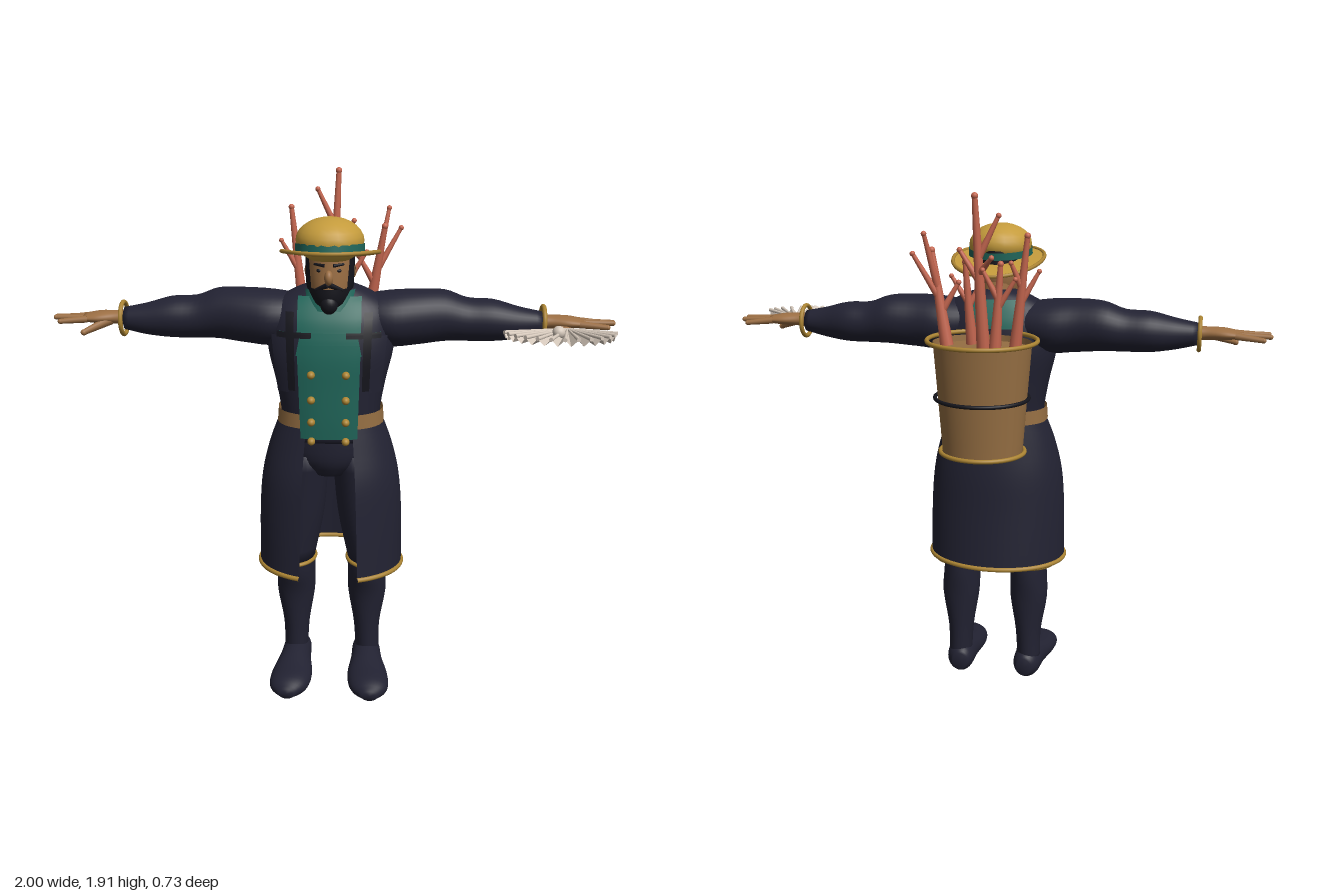
import * as THREE from 'three';

const paint = (name, color, side = THREE.FrontSide) => {
  const m = new THREE.MeshStandardMaterial({ color, side });
  m.name = name;
  return m;
};
const V = (x, y, z) => new THREE.Vector3(x, y, z);

// Smoothly subdivide sections [height, cu, cv, ru, rv, frontGap]
function dense(sections, k = 4) {
  const a = new THREE.CatmullRomCurve3(sections.map(s => V(s[0], s[1], s[2])), false, 'catmullrom', 0.5);
  const b = new THREE.CatmullRomCurve3(sections.map(s => V(s[3], s[4], s[5] || 0)), false, 'catmullrom', 0.5);
  const n = (sections.length - 1) * k;
  return Array.from({ length: n + 1 }, (_, i) => {
    const p = a.getPoint(i / n), q = b.getPoint(i / n);
    return [p.x, p.y, p.z, q.x, q.y, q.z];
  });
}

const power = (v, p) => Math.sign(v) * Math.abs(v) ** p;

function grid(rows, closed, caps) {
  const pos = rows.flat().flat(), idx = [], n = rows[0].length;
  for (let i = 0; i < rows.length - 1; i++)
    for (let j = 0; j < (closed ? n : n - 1); j++) {
      const k = (j + 1) % n, a = i * n + j, b = i * n + k, c = b + n, d = a + n;
      idx.push(a, b, c, a, c, d);
    }
  if (caps) [0, rows.length - 1].forEach((r, e) => {
    const o = pos.length / 3;
    pos.push(...[0, 1, 2].map(q => rows[r].reduce((s, p) => s + p[q], 0) / n));
    for (let j = 0; j < n; j++) {
      const a = r * n + j, b = r * n + (j + 1) % n;
      idx.push(o, ...(e ? [a, b] : [b, a]));
    }
  });
  const g = new THREE.BufferGeometry();
  g.setAttribute('position', new THREE.Float32BufferAttribute(pos, 3));
  g.setIndex(idx);
  g.computeVertexNormals();
  return g;
}

// Upright loft of rounded sections, open at the front where a gap is given
function loft(sections, { p = 1, seg = 32, caps = true, open = false } = {}) {
  const rows = dense(sections).map(([h, cu, cv, ru, rv, w]) => {
    const g = open ? Math.asin(w / ru) : 0;
    return Array.from({ length: open ? seg + 1 : seg }, (_, j) => {
      const t = g + (2 * Math.PI - 2 * g) * j / seg;
      return [cu + ru * power(Math.sin(t), p), h, cv + rv * power(Math.cos(t), p)];
    });
  });
  return grid(rows, !open, caps && !open);
}
// Lofts along x from [x, y, z, ry, rz] and along z from [z, x, y, rx, ry]
const loftX = s => loft(s.map(([x, y, z, a, b]) => [x, -y, z, a, b])).rotateZ(-Math.PI / 2);
const loftZ = s => loft(s.map(([z, x, y, a, b]) => [z, x, -y, a, b])).rotateX(Math.PI / 2);

// Cloth panel lying on a loft; xs = [bottom from, bottom to, top from, top to]
function panel(sections, p, y0, y1, xs, off, face = 1) {
  const d = dense(sections), rows = [];
  for (let i = 0; i <= 12; i++) {
    const f = i / 12, y = y0 + (y1 - y0) * f;
    const k = Math.max(1, d.findIndex(s => s[0] >= y));
    const u = (y - d[k - 1][0]) / (d[k][0] - d[k - 1][0]);
    const [, , cv, ru, rv] = d[k].map((v, q) => d[k - 1][q] + (v - d[k - 1][q]) * u);
    const a = xs[0] + (xs[2] - xs[0]) * f, b = xs[1] + (xs[3] - xs[1]) * f;
    rows.push(Array.from({ length: 13 }, (_, j) => {
      const x = a + (b - a) * j / 12;
      const s = Math.min(0.999, Math.abs(x) / (ru + off)) ** (1 / p);
      return [x * face, y, cv + face * (rv + off) * Math.sqrt(1 - s * s) ** p];
    }));
  }
  return grid(rows, false, false);
}

export function createModel() {
  const root = new THREE.Group();
  const D = THREE.DoubleSide;
  const navy = paint('navy cloth', 0x222232, D), teal = paint('teal cloth', 0x20665a, D);
  const gold = paint('gold trim', 0xab8433), straw = paint('straw', 0xc49b3c, D);
  const brown = paint('brown wood', 0x966f43, D), skin = paint('skin', 0x9c6f44);
  const black = paint('black', 0x15151c, D), coral = paint('coral', 0xc4664f);
  const shell = paint('shell', 0xd6c9bc, D);

  const add = (name, geo, mat, x = 0, y = 0, z = 0) => {
    const m = new THREE.Mesh(geo, mat);
    m.name = name;
    m.position.set(x, y, z);
    root.add(m);
    return m;
  };
  const ball = (name, mat, r, x, y, z, sx = 1, sy = 1, sz = 1) =>
    add(name, new THREE.SphereGeometry(r, 20, 14).scale(sx, sy, sz), mat, x, y, z);
  const limb = (name, mat, a, b, r0, r1) => {
    const m = add(name, new THREE.CylinderGeometry(r1, r0, a.distanceTo(b), 10), mat);
    m.position.copy(a).lerp(b, 0.5);
    m.quaternion.setFromUnitVectors(V(0, 1, 0), b.clone().sub(a).normalize());
    return m;
  };
  const ring = (name, mat, rx, rz, tube, x, y, z) => add(name,
    new THREE.TorusGeometry(1, tube / rx, 10, 48).rotateX(Math.PI / 2).scale(rx, rx, rz), mat, x, y, z);
  // Everything built inside is repeated on the other side
  const mirrored = build => {
    const start = root.children.length;
    build();
    root.children.slice(start).forEach(m => {
      m.updateMatrix();
      const g = m.geometry.clone().applyMatrix4(m.matrix).scale(-1, 1, 1), i = g.index.array;
      for (let k = 0; k < i.length; k += 3) [i[k], i[k + 1]] = [i[k + 1], i[k]];
      add(m.name, g, m.material);
    });
  };

  // Torso, vest and belt
  const body = [[1.0, 0, .12, .185, .13], [1.08, 0, .125, .176, .13], [1.2, 0, .12, .195, .137],
    [1.32, 0, .115, .222, .143], [1.42, 0, .11, .222, .13], [1.48, 0, .105, .2, .105],
    [1.525, 0, .1, .13, .075], [1.55, 0, .1, .06, .05]];
  add('jacket', loft(body, { p: .85, seg: 40 }), navy);
  add('vest', panel(body, .85, 1.02, 1.36, [-.1, .1, -.11, .11], .016), teal);
  add('vestChest', panel(body, .85, 1.32, 1.4, [-.17, .17, -.18, .18], .01), teal);
  add('vestYoke', panel(body, .85, 1.4, 1.515, [-.11, .11, -.11, .11], .012), teal);
  add('backYoke', panel(body, .85, 1.42, 1.52, [-.09, .09, -.1, .1], .008, -1), teal);
  add('belt', loft([[1.055, 0, .122, .192, .143], [1.08, 0, .122, .19, .143], [1.107, 0, .122, .188, .143]],
    { p: .85, caps: false }), brown);
  add('collar', loft([[1.47, 0, .14, .1, .095], [1.5, 0, .135, .098, .09], [1.535, 0, .125, .09, .085]],
    { caps: false }), teal);
  mirrored(() => {
    add('lapel', panel(body, .85, 1.19, 1.39, [.14, .18, .1, .2], .026), navy);
    add('strap', panel(body, .85, 1.2, 1.47, [.115, .14, .12, .15], .032), black);
    add('chestStrap', panel(body, .85, 1.385, 1.405, [.06, .18, .06, .18], .03), black);
    [1.26, 1.17, 1.09, 1.02].forEach(y => ball('button', gold, .014, .06, y, .284, 1, 1, 1.2));
  });

  // Open-fronted skirt with a rope hem
  const skirt = [[.5, 0, .127, .265, .207, .105], [.7, 0, .13, .262, .19, .1], [.85, 0, .13, .25, .178, .095],
    [.97, 0, .125, .222, .155, .088], [1.07, 0, .12, .185, .137, .08]];
  const hem = skirt[0], gap = Math.asin(hem[5] / hem[3]), hemPts = [];
  for (let i = 0; i <= 40; i++) {
    const t = gap + (2 * Math.PI - 2 * gap) * i / 40;
    hemPts.push(V(hem[3] * Math.sin(t), .5, hem[2] + hem[4] * Math.cos(t)));
  }
  add('skirt', loft(skirt, { open: true, seg: 48 }), navy);
  add('skirtHem', new THREE.TubeGeometry(new THREE.CatmullRomCurve3(hemPts), 90, .009, 8), gold);
  add('hips', loft([[.86, 0, .12, .08, .09], [.93, 0, .12, .16, .125], [1.06, 0, .12, .178, .13]]), navy);

  // Legs and shoes
  mirrored(() => {
    add('thigh', loft([[.49, .148, .085, .084, .1], [.7, .122, .1, .098, .108], [.94, .09, .12, .085, .11]]), navy);
    ring('trouserHem', gold, .086, .102, .008, .148, .49, .085);
    add('lowerLeg', loft([[.07, .14, .06, .045, .055], [.2, .137, .062, .05, .06], [.34, .137, .066, .072, .07],
      [.44, .134, .076, .071, .088], [.54, .13, .08, .07, .09]]), navy);
    add('shoe', loftZ([[-.01, .13, .06, .03, .035], [.03, .135, .062, .052, .058], [.12, .139, .058, .06, .056],
      [.22, .145, .048, .077, .046], [.3, .152, .042, .07, .04], [.35, .155, .038, .03, .02]]), navy);
  });

  // Arms, bangles and hands
  mirrored(() => {
    add('sleeve', loftX([[.08, 1.43, .09, .07, .08], [.2, 1.42, .09, .098, .112], [.3, 1.425, .085, .098, .102],
      [.4, 1.428, .07, .091, .092], [.48, 1.415, .07, .077, .08], [.57, 1.413, .072, .074, .078],
      [.66, 1.407, .082, .057, .058], [.74, 1.408, .085, .04, .042]]), navy);
    add('bangle', new THREE.TorusGeometry(.058, .008, 10, 36).rotateY(Math.PI / 2), gold, .745, 1.408, .085);
    add('hand', loftX([[.72, 1.41, .085, .028, .032], [.77, 1.412, .085, .024, .032],
      [.83, 1.412, .085, .022, .047], [.885, 1.41, .085, .014, .043]]), skin);
    [[.975, 1.4, .036], [1, 1.408, .068], [.995, 1.412, .1], [.97, 1.405, .138]].forEach(([x, y, z], i) => {
      limb('finger', skin, V(.87, 1.41, .052 + i * .022), V(x - .008, y, z), .013, .009);
      ball('fingertip', skin, .009, x - .008, y, z);
    });
    limb('thumb', skin, V(.79, 1.405, .1), V(.875, 1.37, .155), .018, .01);
    ball('thumbTip', skin, .011, .875, 1.37, .155);
  });

  // Pleated shell fan with a pearl
  const pivot = V(.82, 1.405, .16), pleats = 26, edge = [];
  for (let i = 0; i <= pleats; i++) {
    const a = Math.PI * i / pleats, r = i % 2 ? 1 : .96;
    edge.push(V(.78 - .19 * r * Math.cos(a), 1.4 + (i % 2 ? .014 : -.01), .25 + .115 * r * Math.sin(a)));
  }
  const fanRows = [1, .55, .08].map(f => edge.map(e => pivot.clone().lerp(e, f).toArray()));
  const fan = grid(fanRows, false, false).toNonIndexed();
  fan.computeVertexNormals();
  add('shellFan', fan, shell);
  edge.forEach((e, i) => { if (i % 2) limb('fanRib', shell, pivot, e, .003, .007); });
  ball('pearl', shell, .022, .775, 1.415, .26);

  // Head, beard and face
  const head = [[1.475, 0, .185, .03, .04], [1.51, 0, .172, .06, .074], [1.56, 0, .157, .076, .092],
    [1.62, 0, .15, .08, .098], [1.7, 0, .15, .075, .095]];
  add('neck', new THREE.CylinderGeometry(.055, .065, .15, 24), skin, 0, 1.52, .115);
  add('head', loft(head), skin);
  add('beard', panel(head, 1, 1.478, 1.55, [-.035, .035, -.077, .077], .006), black);
  ball('goatee', black, .03, 0, 1.495, .235, 1, 1.1, .9);
  ball('nose', skin, .017, 0, 1.59, .255, .9, 1.5, 1.2);
  add('hair', panel(head, 1, 1.6, 1.69, [-.086, .086, -.082, .082], .005, -1), black);
  mirrored(() => {
    add('sideburn', panel(head, 1, 1.54, 1.66, [.06, .082, .07, .085], .006), black);
    limb('moustache', black, V(.004, 1.566, .255), V(.045, 1.545, .232), .01, .006);
    limb('eyebrow', black, V(.015, 1.63, .248), V(.05, 1.633, .228), .006, .004);
    ball('eye', black, .009, .032, 1.612, .236, 1.2, .7, .7);
    ball('ear', skin, .02, .08, 1.595, .13, .5, 1.2, .9);
  });

  // Straw hat
  const brimY = z => { const f = (.34 - z) / .41; return 1.683 - .02 * f - .05 * f * f; };
  const brim = new THREE.RingGeometry(.45, 1, 56, 6).rotateX(-Math.PI / 2).scale(.168, 1, .205).translate(0, 0, .135);
  const bp = brim.attributes.position;
  for (let i = 0; i < bp.count; i++) bp.setY(i, brimY(bp.getZ(i)));
  brim.computeVertexNormals();
  add('hatBrim', brim, straw);
  const rim = Array.from({ length: 40 }, (_, i) => {
    const t = i / 20 * Math.PI, z = .135 + .205 * Math.cos(t);
    return V(.168 * Math.sin(t), brimY(z), z);
  });
  add('hatRim', new THREE.TubeGeometry(new THREE.CatmullRomCurve3(rim, true), 80, .007, 8, true), gold);
  ball('hatCrown', straw, 1, 0, 1.705, .173, .117, .078, .126);
  const band = add('hatBand', loft([[-.014, 0, 0, .119, .128], [.012, 0, 0, .118, .127]],
    { caps: false }), teal, 0, 1.683, .172);
  band.rotation.x = -.1;

  // Bucket on the back
  const bz = -.17;
  add('bucket', loft([[1.0, 0, bz, .145, .117], [1.2, 0, bz, .16, .13], [1.4, 0, bz, .176, .142]],
    { caps: false, seg: 40 }), brown);
  [1.003, 1.375].forEach((y, i) => add(i ? 'bucketFill' : 'bucketBase',
    new THREE.CylinderGeometry(1, 1, .006, 40).scale(i ? .173 : .145, 1, i ? .14 : .117), brown, 0, y, bz));
  ring('bucketRim', gold, .195, .187, .008, 0, 1.405, -.172);
  ring('bucketHoop', black, .167, .158, .007, 0, 1.203, -.18);
  ring('bucketFoot', gold, .152, .143, .008, 0, 1.003, -.172);

  // Branching coral: base, tip, radius, then twigs as [fraction along stem, tip]
  [
    [V(-.01, 1.38, -.2), V(.012, 1.9, -.232), .024, [[.6, V(-.065, 1.835, -.21)], [.45, V(.07, 1.72, -.21)], [.5, V(-.05, 1.7, -.26)]]],
    [V(-.12, 1.38, -.19), V(-.163, 1.77, -.205), .022, [[.4, V(-.2, 1.65, -.18)], [.55, V(-.11, 1.68, -.22)]]],
    [V(.13, 1.38, -.16), V(.185, 1.71, -.14), .024, [[.5, V(.245, 1.7, -.175)], [.35, V(.09, 1.6, -.14)], [.6, V(.2, 1.77, -.19)]]],
    [V(.05, 1.38, -.11), V(.07, 1.67, -.125), .021, [[.5, V(.12, 1.62, -.12)], [.45, V(.02, 1.6, -.1)]]],
    [V(-.06, 1.38, -.25), V(-.08, 1.68, -.25), .022, [[.5, V(-.13, 1.63, -.25)], [.6, V(-.02, 1.66, -.26)]]],
  ].forEach(([a, b, r, twigs]) => {
    limb('coralStem', coral, a, b, r, r * .4);
    ball('coralTip', coral, r * .5, ...b.toArray());
    twigs.forEach(([f, t]) => {
      limb('coralTwig', coral, a.clone().lerp(b, f), t, r * .55, r * .3);
      ball('coralTip', coral, r * .4, ...t.toArray());
    });
  });
  return root;
}
